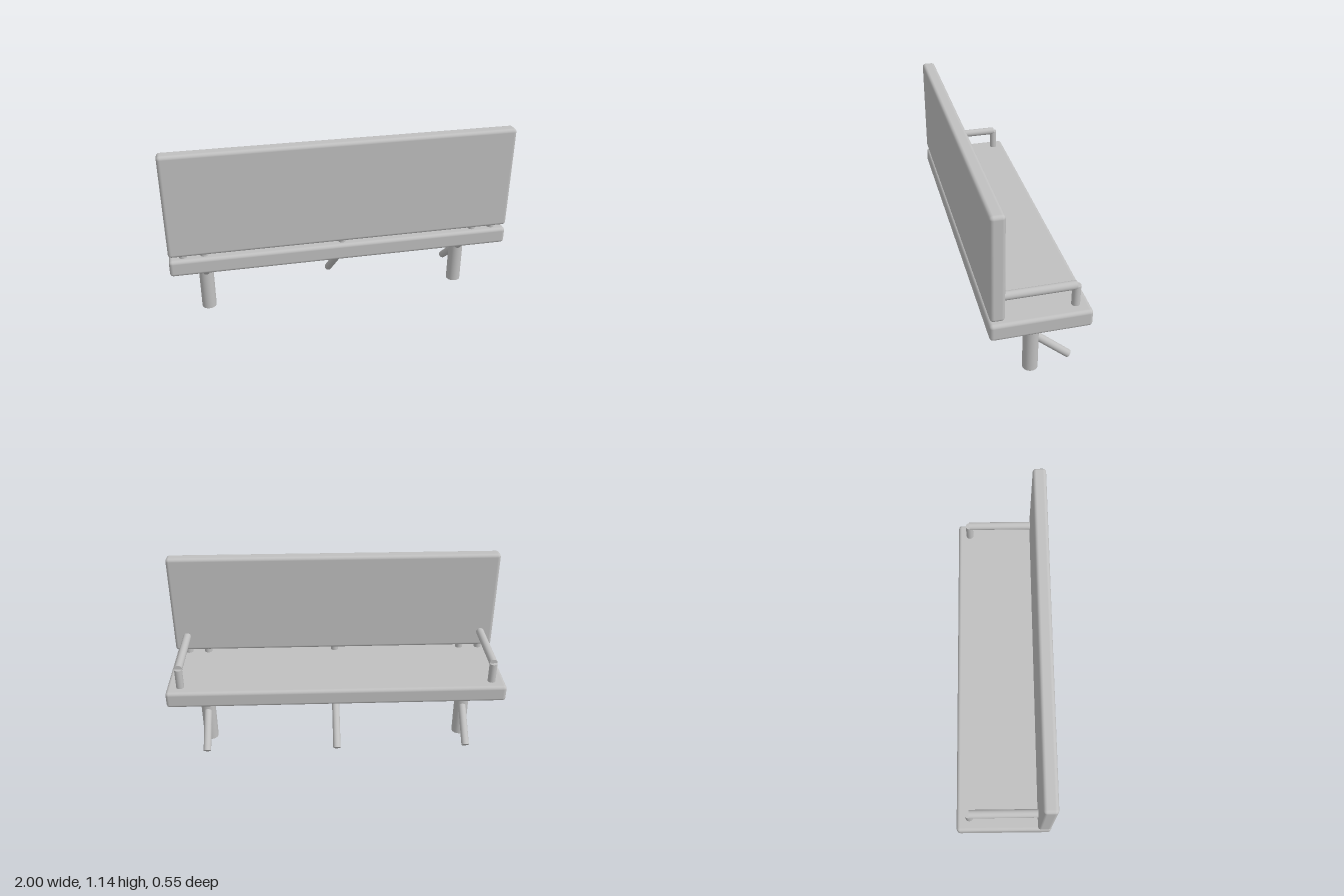
import * as THREE from 'three';
import { RoundedBoxGeometry } from 'three/addons/geometries/RoundedBoxGeometry.js';

export function createModel() {
  const bench = new THREE.Group();
  bench.name = 'bench';
  const grey = new THREE.MeshStandardMaterial({ color: 0xc0c0c0 });
  grey.name = 'grey';

  // softly rounded board spanning y0..y1 and z0..z1
  function board(name, y0, y1, z0, z1) {
    const mesh = new THREE.Mesh(new RoundedBoxGeometry(2, y1 - y0, z1 - z0, 4, 0.02), grey);
    mesh.position.set(0, (y0 + y1) / 2, (z0 + z1) / 2);
    mesh.name = name;
    bench.add(mesh);
  }

  // round bar between two [y, z] points at a given x
  function bar(name, x, [y0, z0], [y1, z1], radius) {
    const a = new THREE.Vector3(x, y0, z0);
    const b = new THREE.Vector3(x, y1, z1);
    const dir = b.clone().sub(a);
    const mesh = new THREE.Mesh(new THREE.CylinderGeometry(radius, radius, dir.length(), 32), grey);
    mesh.position.copy(a).add(b).multiplyScalar(0.5);
    mesh.quaternion.setFromUnitVectors(new THREE.Vector3(0, 1, 0), dir.normalize());
    mesh.name = name;
    bench.add(mesh);
  }

  board('seat', 0.4, 0.5, -0.273, 0.273);
  board('backrest', 0.522, 1.14, 0.192, 0.271);

  // slanted braces under the seat and the posts that carry the backrest
  for (const x of [-0.8, 0, 0.8]) {
    bar('brace', x, [0.043, -0.22], [0.44, 0.222], 0.023);
    bar('backPost', x, [0.44, 0.222], [0.58, 0.222], 0.023);
  }

  for (const side of [-1, 1]) {
    bar('leg', side * 0.8, [0, 0], [0.42, 0], 0.044);
    // armrest: short front post and a horizontal bar into the backrest
    bar('armPost', side * 0.92, [0.48, -0.199], [0.621, -0.199], 0.023);
    bar('armBar', side * 0.92, [0.621, -0.199], [0.621, 0.222], 0.024);
    bar('armBackPost', side * 0.92, [0.48, 0.222], [0.621, 0.222], 0.023);
  }
  return bench;
}
